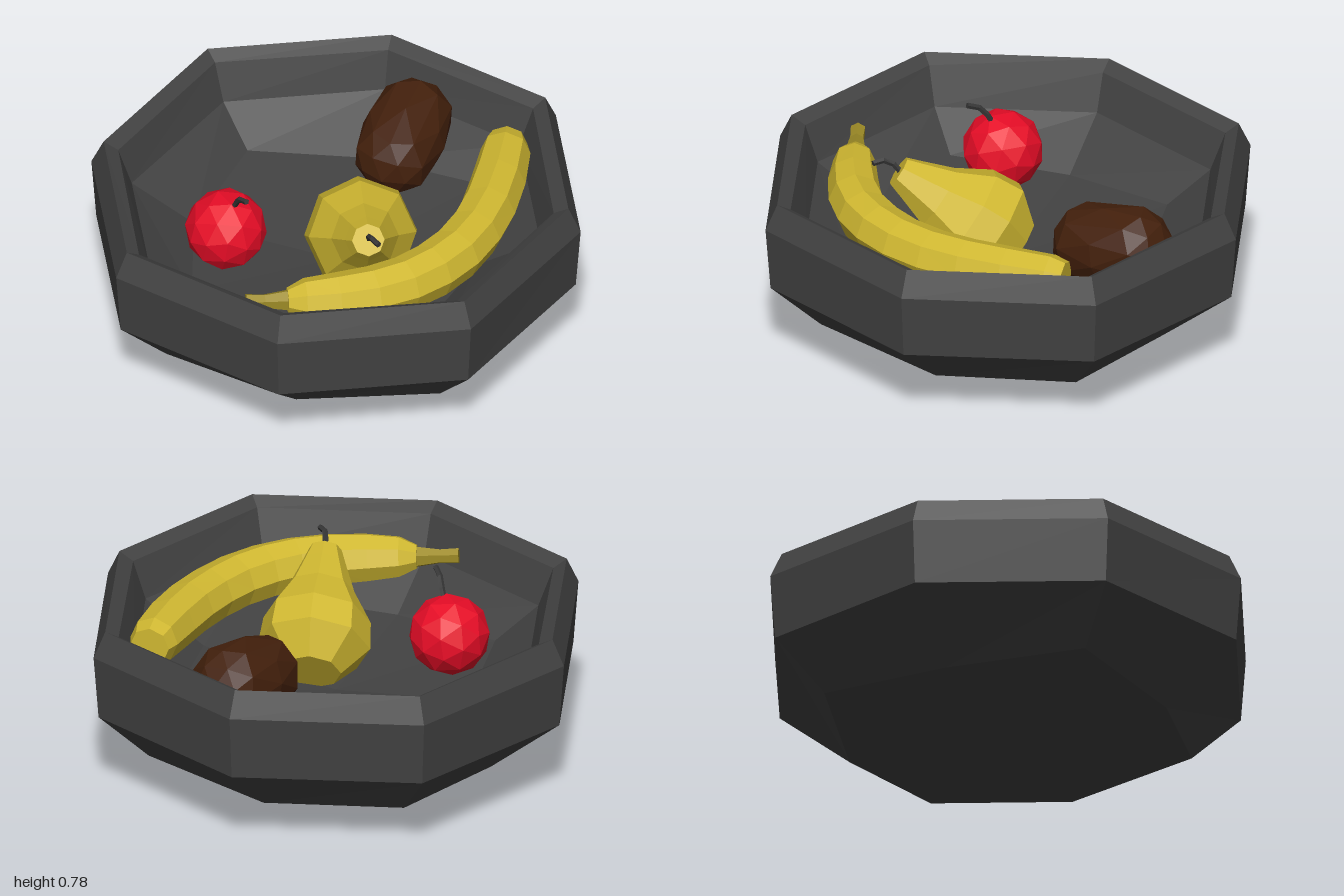
import * as THREE from 'three';

const mat = (name, color) => Object.assign(new THREE.MeshStandardMaterial({ color }), { name });
const V = (p) => new THREE.Vector3(...p);

// Faceted skin over a list of equal-length vertex loops
function skin(rings) {
  const pos = [];
  const tri = (a, b, c) => {
    const n = b.clone().sub(a).cross(c.clone().sub(a));
    if (n.length() > 1e-8) for (const v of [a, b, c]) pos.push(v.x, v.y, v.z);
  };
  for (let i = 0; i < rings.length - 1; i++) {
    const lo = rings[i], hi = rings[i + 1], n = lo.length;
    for (let k = 0; k < n; k++) {
      const j = (k + 1) % n;
      tri(lo[k], hi[k], lo[j]);
      tri(lo[j], hi[k], hi[j]);
    }
  }
  const g = new THREE.BufferGeometry();
  g.setAttribute('position', new THREE.Float32BufferAttribute(pos, 3));
  g.computeVertexNormals();
  return g;
}

// Capped sweep: each station is [x, y, z, radius]
function sweep(stations, sides) {
  const pts = stations.map(([x, y, z]) => V([x, y, z]));
  const rings = pts.map((p, i) => {
    const t = pts[Math.min(i + 1, pts.length - 1)].clone().sub(pts[Math.max(i - 1, 0)]).normalize();
    const e1 = new THREE.Vector3(0, 1, 0).addScaledVector(t, -t.y).normalize();
    const e2 = e1.clone().cross(t);
    return Array.from({ length: sides }, (_, k) => {
      const a = (k / sides) * Math.PI * 2, r = stations[i][3];
      return p.clone().addScaledVector(e1, r * Math.cos(a)).addScaledVector(e2, r * Math.sin(a));
    });
  });
  const cap = (p) => Array.from({ length: sides }, () => p.clone());
  return skin([cap(pts[0]), ...rings, cap(pts[pts.length - 1])]);
}

// Faceted ball, optionally lengthened along y by a straight middle
function ball(radius, stretch) {
  const g = new THREE.IcosahedronGeometry(radius, 1);
  const p = g.attributes.position;
  for (let i = 0; i < p.count; i++) {
    const y = p.getY(i);
    p.setY(i, y + THREE.MathUtils.clamp(y * 2, -stretch, stretch));
  }
  g.computeVertexNormals();
  return g;
}

export function createModel() {
  const group = new THREE.Group();
  const bowlMat = mat('charcoal', 0x424242);
  const stemMat = mat('stem grey', 0x363636);
  const red = mat('apple red', 0xe60c26);
  const yellow = mat('fruit yellow', 0xd0b831);
  const olive = mat('banana stem olive', 0x9c8a26);
  const brown = mat('kiwi brown', 0x43200c);

  const add = (name, geometry, material) => {
    const m = new THREE.Mesh(geometry, material);
    m.name = name;
    group.add(m);
    return m;
  };

  // Bowl: eight-sided loops [side radius, corner x and z, side y, corner y], outside then inside
  const profile = [
    [0, 0, 0, 0], [0.68, 0.56, 0.1, 0.14], [0.98, 0.71, 0.345, 0.345], [1, 0.725, 0.61, 0.61],
    [0.95, 0.69, 0.717, 0.717], [0.89, 0.65, 0.685, 0.685], [0.835, 0.605, 0.53, 0.53],
    [0.58, 0.476, 0.375, 0.405], [0, 0, 0.3, 0.3],
  ];
  add('bowl', skin(profile.map(([side, corner, ySide, yCorner]) =>
    Array.from({ length: 8 }, (_, k) => {
      const a = (k * Math.PI) / 4, odd = k % 2;
      const r = odd ? corner * Math.SQRT2 : side;
      return V([r * Math.cos(a), odd ? yCorner : ySide, r * Math.sin(a)]);
    }))), bowlMat);

  // Apple and its bent stem
  const apple = add('apple', ball(0.164, 0), red);
  apple.position.set(-0.4, 0.535, 0.21);
  apple.rotation.set(0.3, 0.2, -0.2);
  add('appleStem', sweep([
    [-0.37, 0.65, 0.23, 0.012], [-0.345, 0.71, 0.255, 0.012],
    [-0.325, 0.745, 0.28, 0.012], [-0.29, 0.764, 0.315, 0.012],
  ], 5), stemMat);

  // Kiwi leaning on the back wall
  const kiwi = add('kiwi', ball(0.172, 0.085), brown);
  kiwi.position.set(0.15, 0.55, -0.53);
  kiwi.quaternion.setFromUnitVectors(new THREE.Vector3(0, 1, 0), V([0.12, 0.2, -0.95]).normalize());

  // Pear lying with its neck raised: [distance along axis, radius]
  const base = V([0.115, 0.485, 0.05]);
  const axis = V([0.11, 0.23, 0.335]).normalize();
  const pear = [[-0.16, 0.12], [-0.04, 0.225], [0.08, 0.215], [0.22, 0.135], [0.34, 0.09], [0.41, 0.065]];
  add('pear', sweep(pear.map(([d, r]) => [...base.clone().addScaledVector(axis, d).toArray(), r]), 8), yellow);
  add('pearStem', sweep([
    [0.22, 0.7, 0.36, 0.012], [0.23, 0.742, 0.395, 0.012],
    [0.25, 0.76, 0.43, 0.012], [0.285, 0.757, 0.46, 0.012],
  ], 5), stemMat);

  // Banana curving around the bowl wall, with a thin stem
  add('banana', sweep([
    [0.575, 0.6, -0.52, 0.08], [0.583, 0.6, -0.46, 0.1], [0.597, 0.59, -0.28, 0.11],
    [0.598, 0.583, -0.1, 0.112], [0.58, 0.578, 0.06, 0.112], [0.54, 0.577, 0.21, 0.112],
    [0.475, 0.577, 0.34, 0.112], [0.39, 0.578, 0.45, 0.11], [0.28, 0.58, 0.54, 0.107],
    [0.15, 0.584, 0.61, 0.1], [0.03, 0.59, 0.66, 0.085], [-0.035, 0.592, 0.685, 0.05],
  ], 8), yellow);
  add('bananaStem', sweep([
    [-0.03, 0.592, 0.683, 0.045], [-0.12, 0.597, 0.72, 0.03], [-0.19, 0.602, 0.747, 0.033],
  ], 6), olive);

  return group;
}
